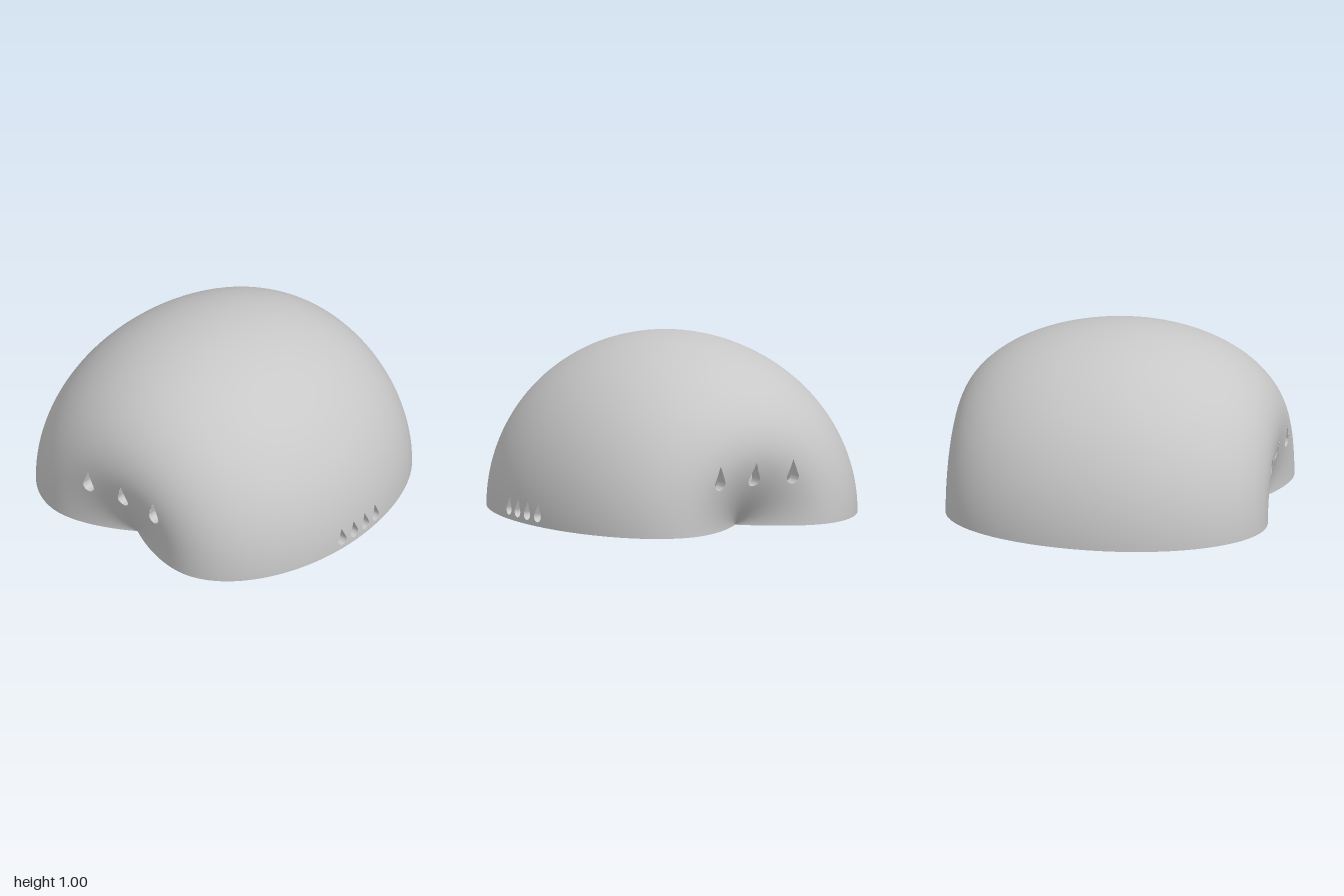
import * as THREE from 'three';
import { toCreasedNormals } from 'three/addons/utils/BufferGeometryUtils.js';

const WALL = 0.09;      // shell thickness
const CEILING = 0.49;   // height of the flat inner ceiling
const RING = 0.43;      // radius at which the ends bulge furthest
const END = 0.92;       // furthest z of the ends
const MID = 0.034;      // z of the fullest section

// Shell surface, o = inward offset, s = +1 front or -1 back
const reach = (o, s) => END - o - s * MID;
function endZ(r, o, s) {
  if (r < RING) {
    const dimple = (s > 0 ? 0.15 : 0.24) - 0.5 * o;
    return s * (END - o - dimple * Math.pow(1 - r / RING, 1.8));
  }
  return MID + s * reach(o, s) * Math.sqrt(Math.max(0, 1 - ((r - RING) / (1 - RING - o)) ** 2));
}
function radiusAt(z, o) {
  const t = (z - MID) / reach(o, Math.sign(z - MID));
  return RING + (1 - RING - o) * Math.sqrt(Math.max(0, 1 - t * t));
}

// Profile (radius, z) from the back dimple round to the front dimple
function profile(o) {
  const pts = [];
  for (let i = 0; i < 14; i++) pts.push(new THREE.Vector2(RING * i / 14, endZ(RING * i / 14, o, -1)));
  for (let i = 0; i <= 56; i++) {
    const a = -Math.PI / 2 + Math.PI * i / 56;
    pts.push(new THREE.Vector2(RING + (1 - RING - o) * Math.cos(a), MID + reach(o, Math.sign(a)) * Math.sin(a)));
  }
  for (let i = 13; i >= 0; i--) pts.push(new THREE.Vector2(RING * i / 14, endZ(RING * i / 14, o, 1)));
  return pts;
}

// Convex teardrop outline, counter-clockwise
function drop(u, v, radius, tip) {
  const start = Math.PI / 2 + Math.acos(radius / (tip - v)), pts = [];
  const sweep = 2 * Math.PI - 2 * (start - Math.PI / 2);
  for (let i = 0; i <= 20; i++) {
    const a = start + sweep * i / 20;
    pts.push([u + radius * Math.cos(a), v + radius * Math.sin(a)]);
  }
  pts.push([u, tip]);
  return pts;
}

// Each opening: outline, flat coordinates of a point, and point on the shell
const holes = [];
for (const s of [1, -1]) {
  for (const u of [-0.24, 0, 0.24]) {
    holes.push({
      outline: drop(u, 0.286, 0.037, 0.39),
      on: p => p.z * s > 0.3,
      uv: p => [p.x * s, p.y],
      place: (a, b, o) => [a * s, b, endZ(Math.hypot(a, b), o, s)]
    });
  }
}
for (const u of [-0.15, -0.05, 0.05, 0.15]) {
  holes.push({
    outline: drop(u, 0.055, 0.031, 0.13),
    on: p => p.x > 0.5,
    uv: p => [-p.z, p.y],
    place: (a, b, o) => [Math.sqrt(radiusAt(-a, o) ** 2 - b * b), b, -a]
  });
}

// Cuts a convex polygon by an opening and returns the pieces outside it
function cut(poly, hole) {
  if (!hole.on(poly[0].p)) return [poly];
  const n = hole.outline.length;
  const side = (v, i) => {
    const a = hole.outline[i], b = hole.outline[(i + 1) % n], q = hole.uv(v.p);
    return (b[0] - a[0]) * (q[1] - a[1]) - (b[1] - a[1]) * (q[0] - a[0]);
  };
  for (let i = 0; i < n; i++) if (poly.every(v => side(v, i) <= 0)) return [poly];
  const pieces = [];
  let rest = poly;
  for (let i = 0; i < n && rest.length > 2; i++) {
    const inside = [], outside = [];
    rest.forEach((v, k) => {
      const w = rest[(k + 1) % rest.length], d = side(v, i), e = side(w, i);
      (d >= 0 ? inside : outside).push(v);
      if ((d >= 0) !== (e >= 0)) {
        const t = d / (d - e);
        const m = { p: v.p.clone().lerp(w.p, t), n: v.n.clone().lerp(w.n, t) };
        inside.push(m);
        outside.push(m);
      }
    });
    if (outside.length > 2) pieces.push(outside);
    rest = inside;
  }
  return pieces;
}

// Half-revolved skin with the openings cut out
function skin(points) {
  const base = new THREE.LatheGeometry(points, 96, Math.PI / 2, Math.PI).rotateX(Math.PI / 2).toNonIndexed();
  const P = base.attributes.position, N = base.attributes.normal, pos = [], nor = [];
  for (let i = 0; i < P.count; i += 3) {
    let polys = [[0, 1, 2].map(k => ({
      p: new THREE.Vector3().fromBufferAttribute(P, i + k),
      n: new THREE.Vector3().fromBufferAttribute(N, i + k)
    }))];
    for (const hole of holes) polys = polys.flatMap(poly => cut(poly, hole));
    for (const poly of polys) {
      for (let k = 1; k < poly.length - 1; k++) {
        for (const v of [poly[0], poly[k], poly[k + 1]]) {
          pos.push(...v.p.toArray());
          nor.push(...v.n.normalize().toArray());
        }
      }
    }
  }
  const g = new THREE.BufferGeometry();
  g.setAttribute('position', new THREE.Float32BufferAttribute(pos, 3));
  g.setAttribute('normal', new THREE.Float32BufferAttribute(nor, 3));
  return g;
}

// Walls of one opening, through the shell thickness
function openingWall(hole) {
  const pos = [];
  hole.outline.forEach((a, i) => {
    const b = hole.outline[(i + 1) % hole.outline.length];
    const ao = hole.place(...a, 0), bo = hole.place(...b, 0);
    const ai = hole.place(...a, WALL), bi = hole.place(...b, WALL);
    pos.push(...ao, ...bo, ...bi, ...ao, ...bi, ...ai);
  });
  const g = new THREE.BufferGeometry();
  g.setAttribute('position', new THREE.Float32BufferAttribute(pos, 3));
  return toCreasedNormals(g, 0.6);
}

// Closed plan outline at y = 0
function plan(o) {
  const half = profile(o);
  const other = half.slice(1, -1).reverse().map(p => new THREE.Vector2(-p.x, p.y));
  return [...half, ...other];
}

// Screw post: blind hole, flat top that slopes down towards the wall
function postGeometry(cx, cz) {
  const pts = [[0, 0.2], [0.085, 0.2], [0.085, 0], [0.15, 0], [0.15, 0.43], [0.1, 0.43], [0.05, 0.43], [0, 0.43]];
  const g = new THREE.LatheGeometry(pts.map(p => new THREE.Vector2(...p)), 40);
  const P = g.attributes.position;
  for (let i = 0; i < P.count; i++) {
    const outward = (P.getX(i) * Math.sign(cx) + P.getZ(i) * Math.sign(cz)) * Math.SQRT1_2;
    P.setY(i, Math.min(P.getY(i), 0.25 - 1.5 * outward));
  }
  return toCreasedNormals(g.translate(cx, 0, cz), 0.6);
}

export function createModel() {
  const model = new THREE.Group();
  const grey = new THREE.MeshStandardMaterial({ color: 0xc8c8c8 });
  grey.name = 'grey plastic';
  const add = (name, geometry) => {
    const mesh = new THREE.Mesh(geometry, grey);
    mesh.name = name;
    model.add(mesh);
  };

  add('outerShell', skin(profile(0)));
  add('innerShell', skin(profile(WALL).reverse()));
  holes.forEach(hole => add('teardropOpening', openingWall(hole)));

  // Flat rim under the shell
  const rim = new THREE.Shape(plan(0));
  rim.holes.push(new THREE.Path(plan(WALL)));
  add('rim', new THREE.ShapeGeometry(rim).rotateX(Math.PI / 2));

  // Flat ceiling of the cavity, set into the shell
  const edge = [], o = WALL - 0.03;
  for (let i = 0; i <= 48; i++) {
    const r = CEILING + (1 - o - CEILING) * Math.sin(Math.PI * i / 48);
    const z = endZ(r, o, i < 24 ? -1 : 1);
    edge.push(new THREE.Vector2(Math.sqrt(Math.max(0, r * r - CEILING ** 2)), z));
  }
  const outline = [...edge, ...edge.slice(1, -1).reverse().map(p => new THREE.Vector2(-p.x, p.y))];
  add('ceiling', new THREE.ShapeGeometry(new THREE.Shape(outline)).rotateX(Math.PI / 2).translate(0, CEILING, 0));

  for (const x of [-0.71, 0.71]) for (const z of [-0.48, 0.48]) add('screwPost', postGeometry(x, z));
  return model;
}
